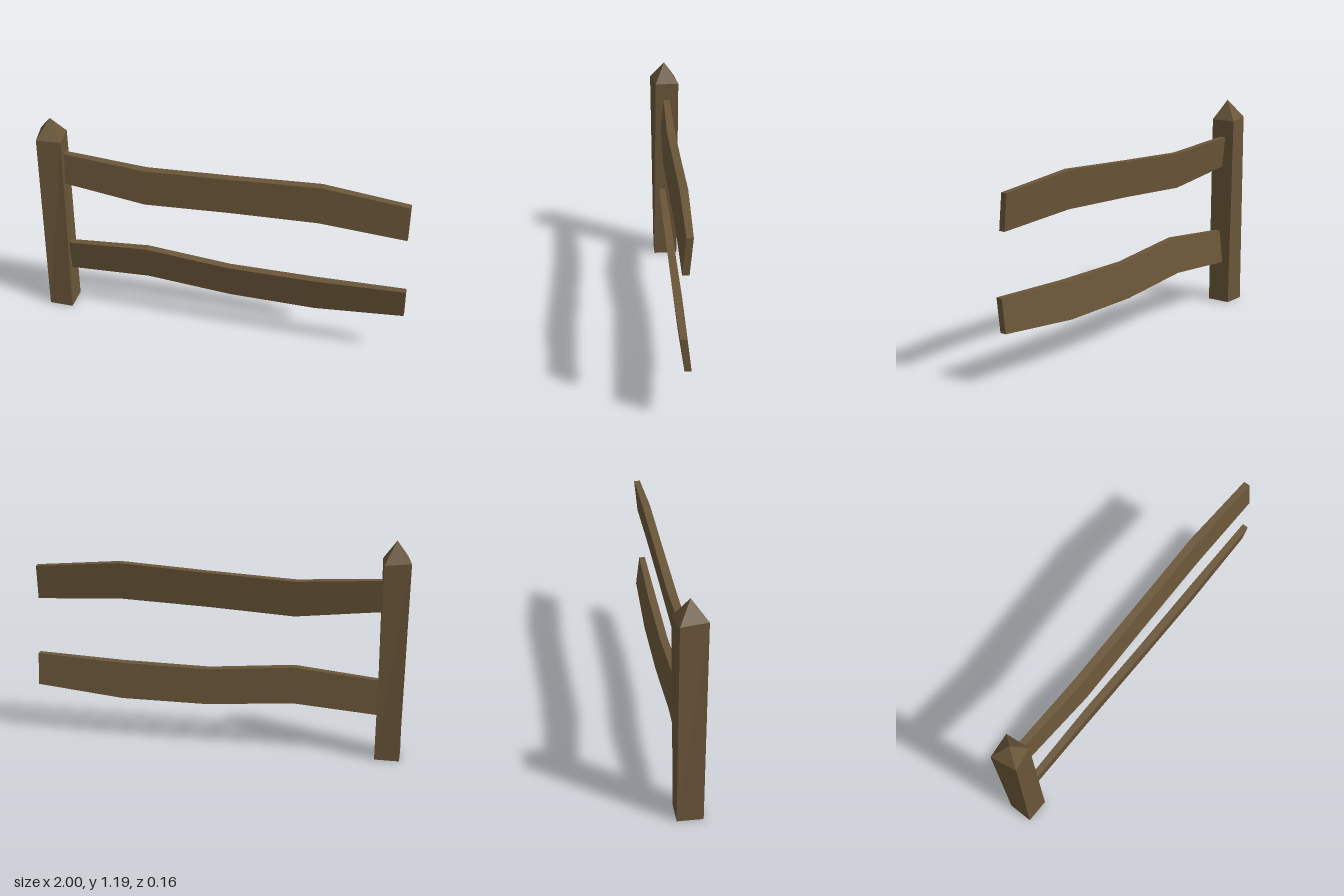
import * as THREE from 'three';

// Joins four-cornered rings (counter-clockwise seen from the last ring) into a flat-faceted solid
function loft(rings, capStart, capEnd) {
  const index = [];
  for (let r = 0; r < rings.length - 1; r++) {
    for (let i = 0; i < 4; i++) {
      const a = r * 4 + i, b = r * 4 + (i + 1) % 4;
      index.push(a, b, b + 4, a, b + 4, a + 4);
    }
  }
  const e = (rings.length - 1) * 4;
  if (capStart) index.push(0, 2, 1, 0, 3, 2);
  if (capEnd) index.push(e, e + 1, e + 2, e, e + 2, e + 3);
  const indexed = new THREE.BufferGeometry();
  indexed.setAttribute('position', new THREE.Float32BufferAttribute(rings.flat(2), 3));
  indexed.setIndex(index);
  const geometry = indexed.toNonIndexed();
  geometry.computeVertexNormals();
  return geometry;
}

// Board whose sections are [x, bottom, top, half thickness], leaning in z with height
function railGeometry(sections, midY, midZ, lean) {
  const rings = sections.map(([x, low, high, half]) => {
    const corner = (y, side) => [x, y, midZ + lean * (y - midY) + side * half];
    return [corner(low, 1), corner(low, -1), corner(high, -1), corner(high, 1)];
  });
  return loft(rings, true, true);
}

export function createModel() {
  const model = new THREE.Group();
  model.name = 'fence';
  const wood = new THREE.MeshStandardMaterial({ color: 0x6a5639 });
  wood.name = 'brown wood';
  wood.side = THREE.DoubleSide;

  const add = (name, geometry) => {
    const mesh = new THREE.Mesh(geometry, wood);
    mesh.name = name;
    model.add(mesh);
  };

  // Post: square foot widening to a slightly twisted rim, open underneath
  const foot = [[-0.988, 0, 0.066], [-0.857, 0, 0.066], [-0.857, 0, -0.067], [-0.988, 0, -0.067]];
  const rim = [[-0.975, 1.088, 0.079], [-0.85, 1.078, 0.053], [-0.864, 1.075, -0.079], [-1, 1.086, -0.06]];
  add('post', loft([foot, rim], false, false));

  // Pointed top
  const tip = [-0.92, 1.188, 0];
  const cap = new THREE.BufferGeometry();
  cap.setAttribute('position', new THREE.Float32BufferAttribute(
    rim.flatMap((corner, i) => [...corner, ...rim[(i + 1) % 4], ...tip]), 3));
  cap.computeVertexNormals();
  add('postPoint', cap);

  // Two warped boards, leaning opposite ways
  add('upperRail', railGeometry([
    [-0.9, 0.812, 0.983, 0.017],
    [-0.41, 0.755, 0.95, 0.022],
    [0.05, 0.78, 0.973, 0.021],
    [0.52, 0.798, 1.0, 0.021],
    [0.978, 0.77, 0.957, 0.017],
  ], 0.875, 0, -0.1));
  add('lowerRail', railGeometry([
    [-0.9, 0.235, 0.42, 0.017],
    [-0.41, 0.27, 0.465, 0.021],
    [0.05, 0.231, 0.424, 0.021],
    [0.52, 0.231, 0.428, 0.022],
    [0.998, 0.275, 0.448, 0.017],
  ], 0.345, 0.008, 0.12));

  return model;
}
